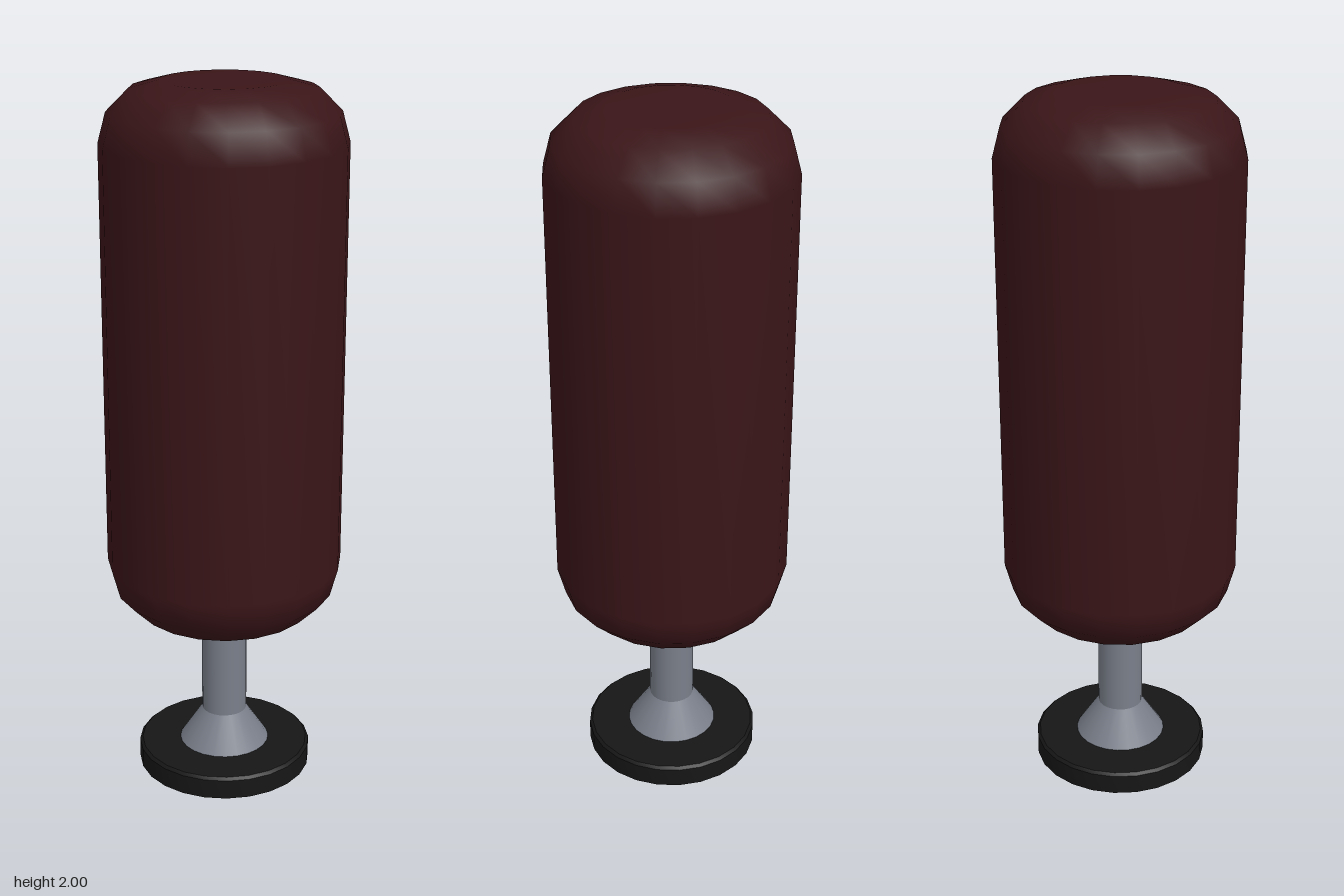
import * as THREE from 'three';
import { toCreasedNormals } from 'three/addons/utils/BufferGeometryUtils.js';

const material = (color) => new THREE.MeshStandardMaterial({ color });

function addPart(group, name, geometry, mat, y = 0) {
  const mesh = new THREE.Mesh(geometry, mat);
  mesh.name = name;
  mesh.position.y = y;
  group.add(mesh);
}

// Turned solid from [radius, height] pairs, listed bottom to top
const turned = (profile, sides) =>
  new THREE.LatheGeometry(profile.map(([r, y]) => new THREE.Vector2(r, y)), sides);

export function createModel() {
  const group = new THREE.Group();
  group.name = 'punchingBag';

  const leather = material(0x3a1518);
  const steel = material(0x7a7f8a);
  const rubber = material(0x161616);

  // Bag: straight sides with three-step rounded rims and flat ends
  const radius = 0.333, bottom = 0.48, top = 2, rim = 0.165, steps = 3;
  const profile = [[0, bottom]];
  for (let i = 0; i <= steps; i++) {
    const a = (i / steps) * Math.PI / 2;
    profile.push([radius - rim + rim * Math.sin(a), bottom + rim - rim * Math.cos(a)]);
  }
  for (let i = 0; i <= steps; i++) {
    const a = (i / steps) * Math.PI / 2;
    profile.push([radius - rim + rim * Math.cos(a), top - rim + rim * Math.sin(a)]);
  }
  profile.push([0, top]);
  addPart(group, 'bag', turned(profile, 20), leather);

  // Post running up into the bag, with a flared collar at its foot
  addPart(group, 'post', new THREE.CylinderGeometry(0.065, 0.065, 0.46, 24), steel, 0.29);
  addPart(group, 'collar', new THREE.CylinderGeometry(0.065, 0.133, 0.105, 24), steel, 0.1125);

  // Base disc with a slightly bevelled top edge
  const disc = turned([[0, 0], [0.25, 0], [0.25, 0.057], [0.242, 0.065], [0, 0.065]], 24);
  addPart(group, 'base', toCreasedNormals(disc, Math.PI / 6), rubber);

  return group;
}
